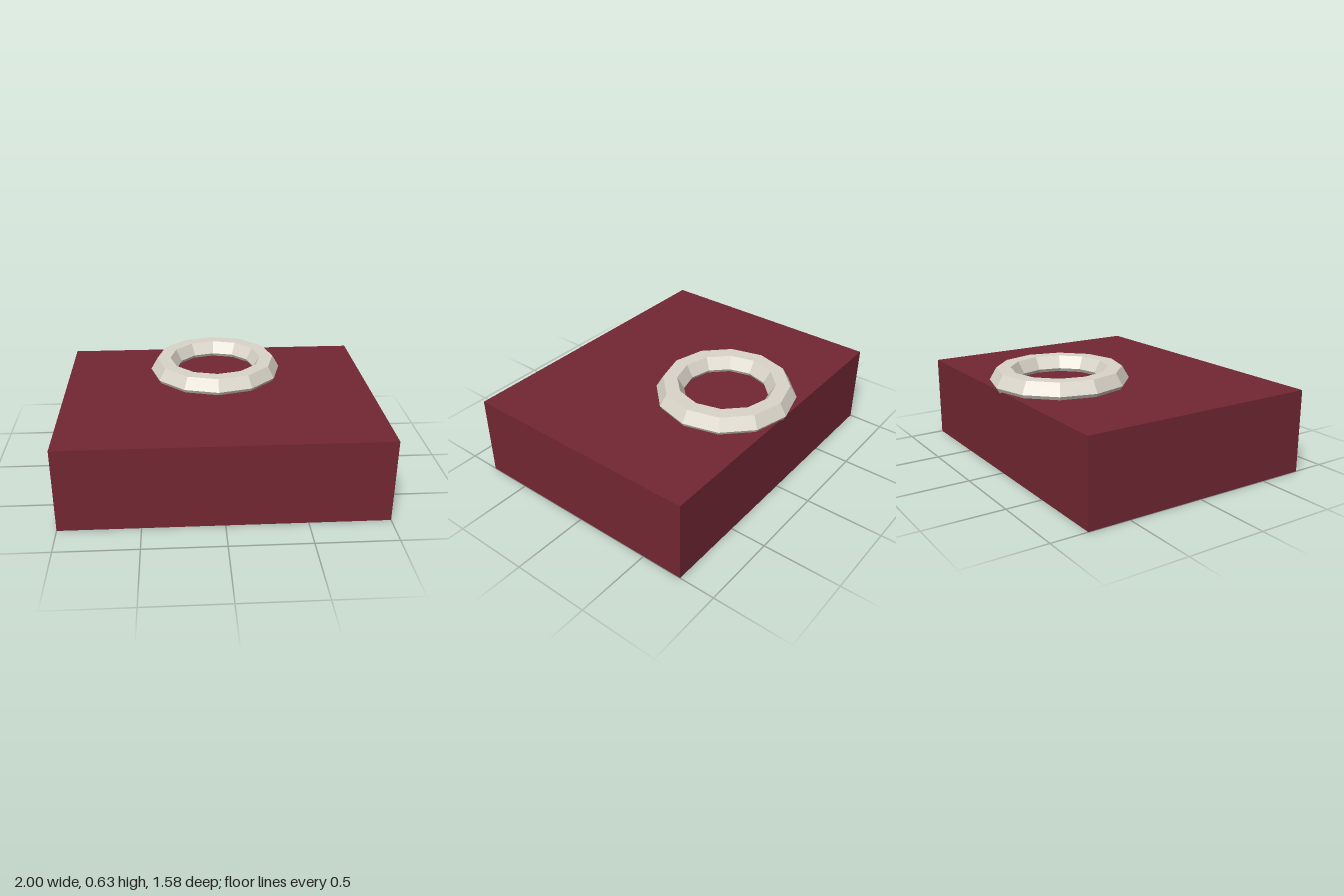
import * as THREE from 'three';

export function createModel() {
  const model = new THREE.Group();

  const add = (name, geometry, color, x, y, z) => {
    const material = new THREE.MeshStandardMaterial({ color, flatShading: true });
    const mesh = new THREE.Mesh(geometry, material);
    mesh.name = name;
    mesh.position.set(x, y, z);
    model.add(mesh);
  };

  // Solid rectangular base block
  const height = 0.534;
  add('baseBlock', new THREE.BoxGeometry(2, height, 1.557), 0x732733, 0, height / 2, 0.01);

  // Twelve-sided ring with a hexagonal section, sunk slightly into the block
  const ring = new THREE.TorusGeometry(0.354, 0.089, 6, 12).rotateX(-Math.PI / 2);
  add('ring', ring, 0xdbd6ca, 0, 0.556, -0.346);

  return model;
}
